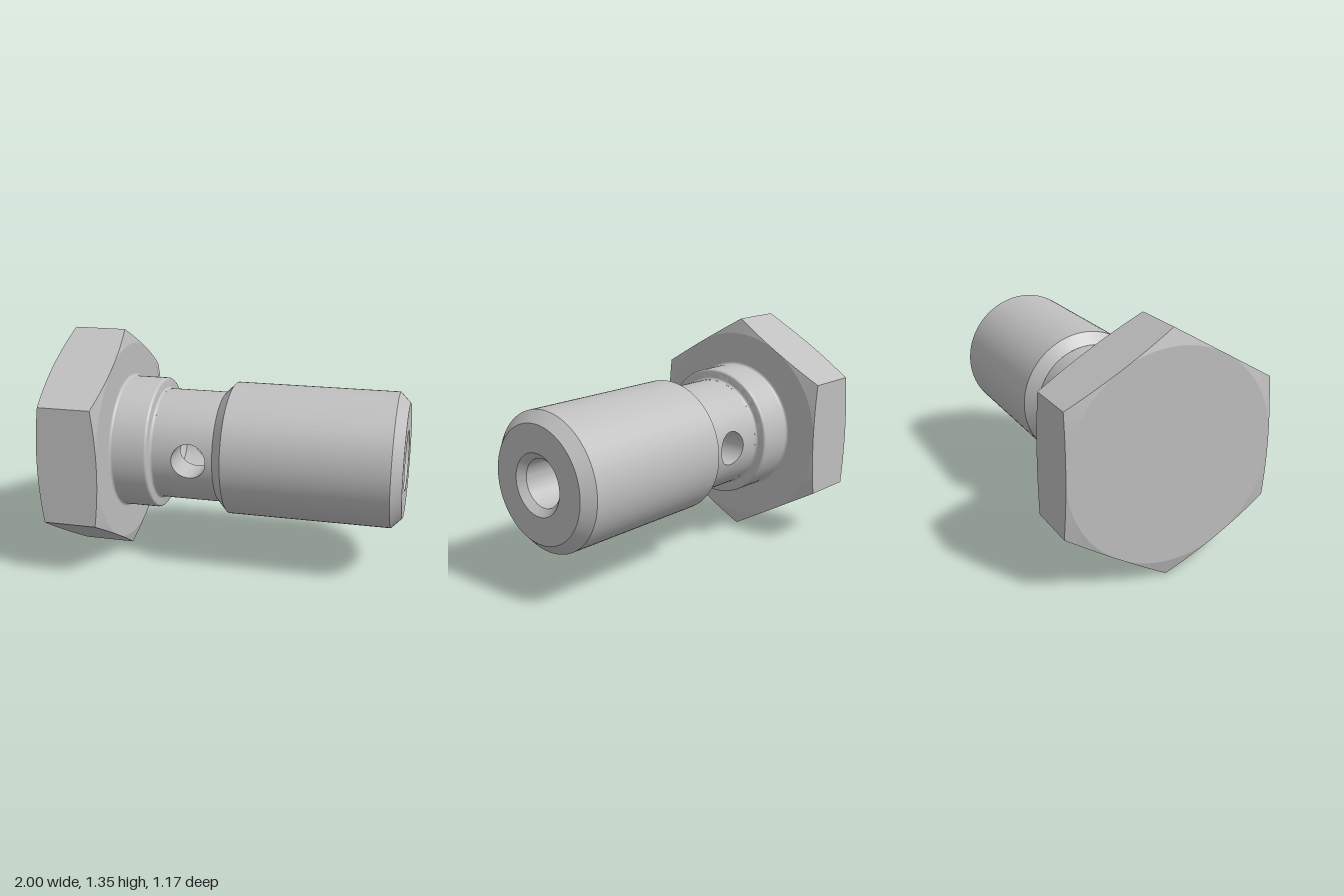
import * as THREE from 'three';
import { toCreasedNormals } from 'three/addons/utils/BufferGeometryUtils.js';

const steel = new THREE.MeshStandardMaterial({ color: 0xbfbfbf });
steel.name = 'steel grey';

const AXIS_Y = 0.677;               // height of the bolt axis
const NECK_R = 0.326, BORE_R = 0.135;
const HOLE_X = -0.2, HOLE_R = 0.1;  // cross hole

// Surface of revolution about x from [radius, x] points
function turned(points) {
  const g = new THREE.LatheGeometry(points.map(([r, x]) => new THREE.Vector2(r, x)), 96);
  g.rotateZ(-Math.PI / 2);
  return toCreasedNormals(g, THREE.MathUtils.degToRad(25));
}

// Quarter arc of profile points
function arc(r, x, radius, from, to) {
  return Array.from({ length: 7 }, (_, i) => {
    const a = THREE.MathUtils.degToRad(from + (to - from) * i / 6);
    return [r + radius * Math.cos(a), x + radius * Math.sin(a)];
  });
}

// Closed band of quads: point(a, t) with a around and t across
function band(point, around, across, flip = false) {
  const pos = [], idx = [];
  for (let j = 0; j <= across; j++)
    for (let i = 0; i < around; i++) pos.push(...point(i / around * Math.PI * 2, j / across));
  for (let j = 0; j < across; j++)
    for (let i = 0; i < around; i++) {
      const k = (i + 1) % around;
      const a = j * around + i, b = a + around, c = b - i + k, d = j * around + k;
      idx.push(...(flip ? [a, c, b, a, d, c] : [a, b, c, a, c, d]));
    }
  const g = new THREE.BufferGeometry();
  g.setAttribute('position', new THREE.Float32BufferAttribute(pos, 3));
  g.setIndex(idx);
  g.computeVertexNormals();
  return g;
}

// Rim of the cross hole on a cylinder of radius r
function rim(a, r) {
  const y = HOLE_R * Math.sin(a);
  return [HOLE_X + HOLE_R * Math.cos(a), y, Math.sqrt(r * r - y * y)];
}

// Half cylinder wall from x0 to x1, pierced by the cross hole
function piercedWall(r, x0, x1, flip) {
  return band((a, t) => {
    const c = Math.cos(a), s = Math.sin(a), m = Math.max(Math.abs(c), Math.abs(s));
    const outerX = THREE.MathUtils.mapLinear(c / m, -1, 1, x0, x1);
    const outerAngle = s / m * Math.PI / 2;
    const [hx, hy] = rim(a, r);
    const x = THREE.MathUtils.lerp(hx, outerX, t);
    const angle = THREE.MathUtils.lerp(Math.asin(hy / r), outerAngle, t);
    return [x, r * Math.sin(angle), r * Math.cos(angle)];
  }, 128, 16, flip);
}

// Hexagonal head with conical corner chamfers at both ends
function hexHead(x0, x1) {
  const apothem = 0.586, slope = 0.27, steps = 20, pos = [];
  const section = (phi, local) => {
    const R = apothem / Math.cos(local), off = (R - apothem) * slope;
    const at = (x, r) => [x, r * Math.cos(phi), r * Math.sin(phi)];
    return [at(x0, 0), at(x0, apothem), at(x0 + off, R), at(x1 - off, R), at(x1, apothem), at(x1, 0)];
  };
  for (let side = 0; side < 6; side++)
    for (let i = 0; i < steps; i++) {
      const l0 = (i / steps - 0.5) * Math.PI / 3, l1 = ((i + 1) / steps - 0.5) * Math.PI / 3;
      const mid = (side + 0.5) * Math.PI / 3;
      const p = section(mid + l0, l0), q = section(mid + l1, l1);
      for (let k = 0; k < 5; k++) {
        if (k > 0) pos.push(...p[k], ...q[k], ...p[k + 1]);
        if (k < 4) pos.push(...q[k], ...q[k + 1], ...p[k + 1]);
        if (k === 0) continue;
      }
    }
  const g = new THREE.BufferGeometry();
  // Reverse winding so that every face points outward
  for (let i = 0; i < pos.length; i += 9)
    for (let c = 0; c < 3; c++) [pos[i + 3 + c], pos[i + 6 + c]] = [pos[i + 6 + c], pos[i + 3 + c]];
  g.setAttribute('position', new THREE.Float32BufferAttribute(pos, 3));
  g.computeVertexNormals();
  return orientOutward(g);
}

// Flip the triangles of a convex solid around the head centre if needed
function orientOutward(g) {
  const p = g.attributes.position, n = new THREE.Vector3();
  const [a, b, c] = [0, 1, 2].map(() => new THREE.Vector3());
  const centre = new THREE.Vector3(-0.8225, 0, 0);
  for (let i = 0; i < p.count; i += 3) {
    [a, b, c].forEach((v, k) => v.fromBufferAttribute(p, i + k));
    n.crossVectors(b.clone().sub(a), c.clone().sub(a));
    if (n.dot(a.clone().sub(centre)) < 0) {
      p.setXYZ(i + 1, c.x, c.y, c.z);
      p.setXYZ(i + 2, b.x, b.y, b.z);
    }
  }
  g.computeVertexNormals();
  return g;
}

export function createModel() {
  const bolt = new THREE.Group();
  bolt.name = 'hollowBolt';
  const add = (name, geometry) => {
    const mesh = new THREE.Mesh(geometry, steel);
    mesh.name = name;
    mesh.position.y = AXIS_Y;
    bolt.add(mesh);
    return mesh;
  };

  add('hexHead', hexHead(-1, -0.645));

  // Collar with fillets at the head and the neck
  add('collar', turned([
    ...arc(0.404, -0.63, 0.015, 270, 180),
    ...arc(0.374, -0.443, 0.015, 0, 90),
    ...arc(0.341, -0.413, 0.015, 270, 180),
  ]));

  // Shank with chamfered ends, countersink and bore wall
  add('shank', turned([
    [NECK_R, -0.06], [0.389, 0], [0.389, 0.94], [0.328, 1],
    [0.173, 1], [BORE_R, 0.962], [BORE_R, -0.06],
  ]));
  add('boreTip', turned([[BORE_R, -0.34], [0, -0.42]]));

  // Neck, bore and cross hole, once per side
  const walls = {
    neck: piercedWall(NECK_R, -0.413, -0.06, false),
    bore: piercedWall(BORE_R, -0.34, -0.06, true),
    crossHole: band((a, t) => {
      const [x, y, z] = rim(a, BORE_R);
      return [x, y, THREE.MathUtils.lerp(z, rim(a, NECK_R)[2], t)];
    }, 128, 2),
  };
  for (const [name, geometry] of Object.entries(walls)) {
    add(name + 'Front', geometry);
    add(name + 'Back', geometry).rotation.x = Math.PI;
  }
  return bolt;
}
